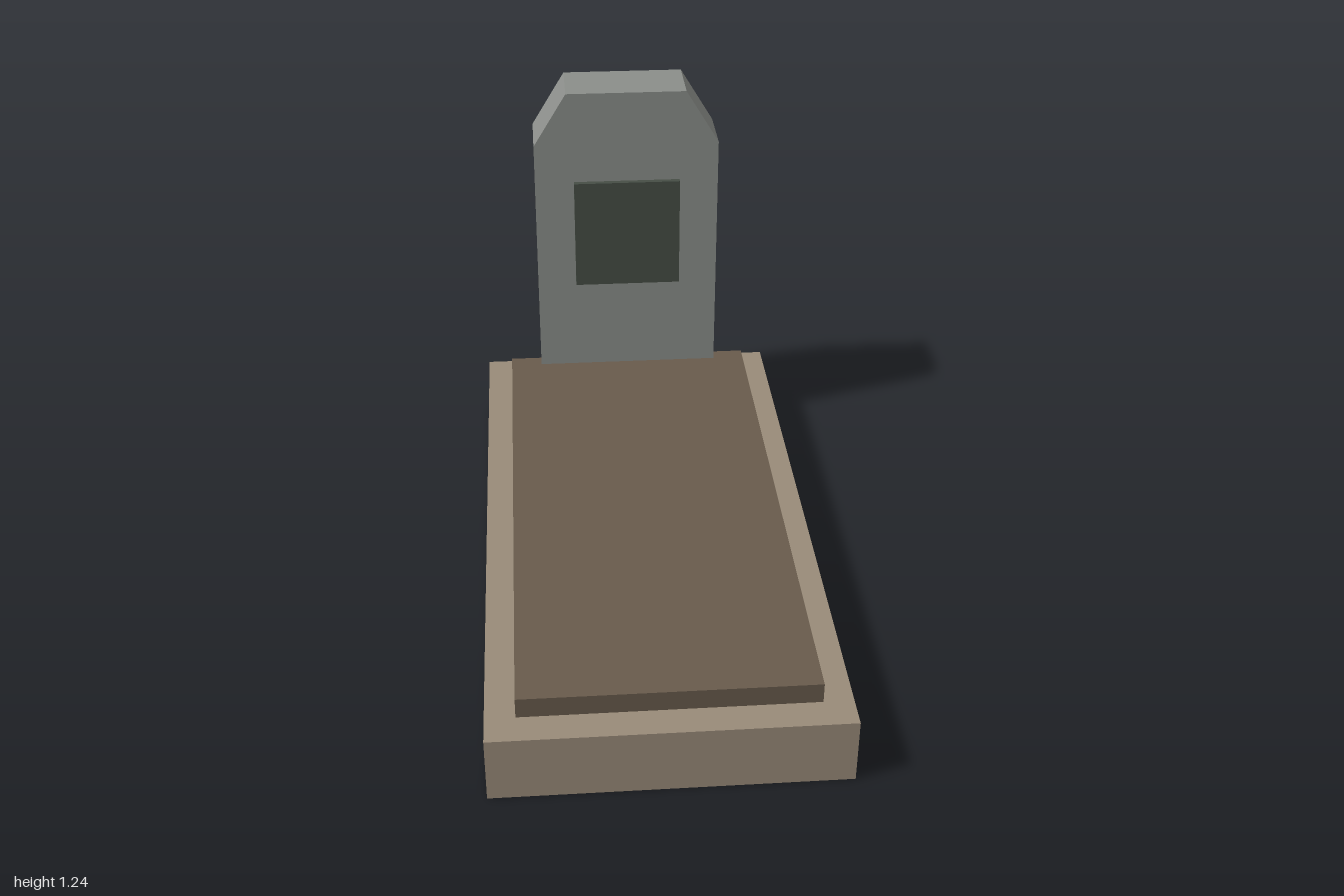
import * as THREE from 'three';

const mat = (name, color) => {
  const m = new THREE.MeshStandardMaterial({ color });
  m.name = name;
  return m;
};

// Box given by its min and max corners
function block(name, [x0, y0, z0], [x1, y1, z1], material) {
  const mesh = new THREE.Mesh(new THREE.BoxGeometry(x1 - x0, y1 - y0, z1 - z0), material);
  mesh.position.set((x0 + x1) / 2, (y0 + y1) / 2, (z0 + z1) / 2);
  mesh.name = name;
  return mesh;
}

export function createModel() {
  const group = new THREE.Group();
  group.name = 'grave';
  const kerb = mat('tan stone', 0x998b79);
  const soil = mat('brown earth', 0x685b4c);
  const stone = mat('grey stone', 0x8b8e8a);
  const dark = mat('dark green plate', 0x464e45);

  // Stepped base
  group.add(block('base', [-0.484, 0, -0.933], [0.484, 0.195, 1], kerb));
  group.add(block('earthSlab', [-0.402, 0.195, -0.845], [0.402, 0.255, 0.913], soil));

  // Headstone with chamfered shoulders, overhanging the back of the base
  const outline = new THREE.Shape([
    [-0.3, 0.1], [0.3, 0.1], [0.3, 1.063], [0.193, 1.238], [-0.193, 1.238], [-0.3, 1.063],
  ].map(([x, y]) => new THREE.Vector2(x, y)));
  const headstone = new THREE.Mesh(
    new THREE.ExtrudeGeometry(outline, { depth: 0.2, bevelEnabled: false }), stone);
  headstone.position.z = -1;
  headstone.name = 'headstone';
  group.add(headstone);

  // Blank plaque held just off the headstone's face
  group.add(block('plaque', [-0.173, 0.573, -0.791], [0.173, 0.94, -0.773], dark));
  return group;
}
